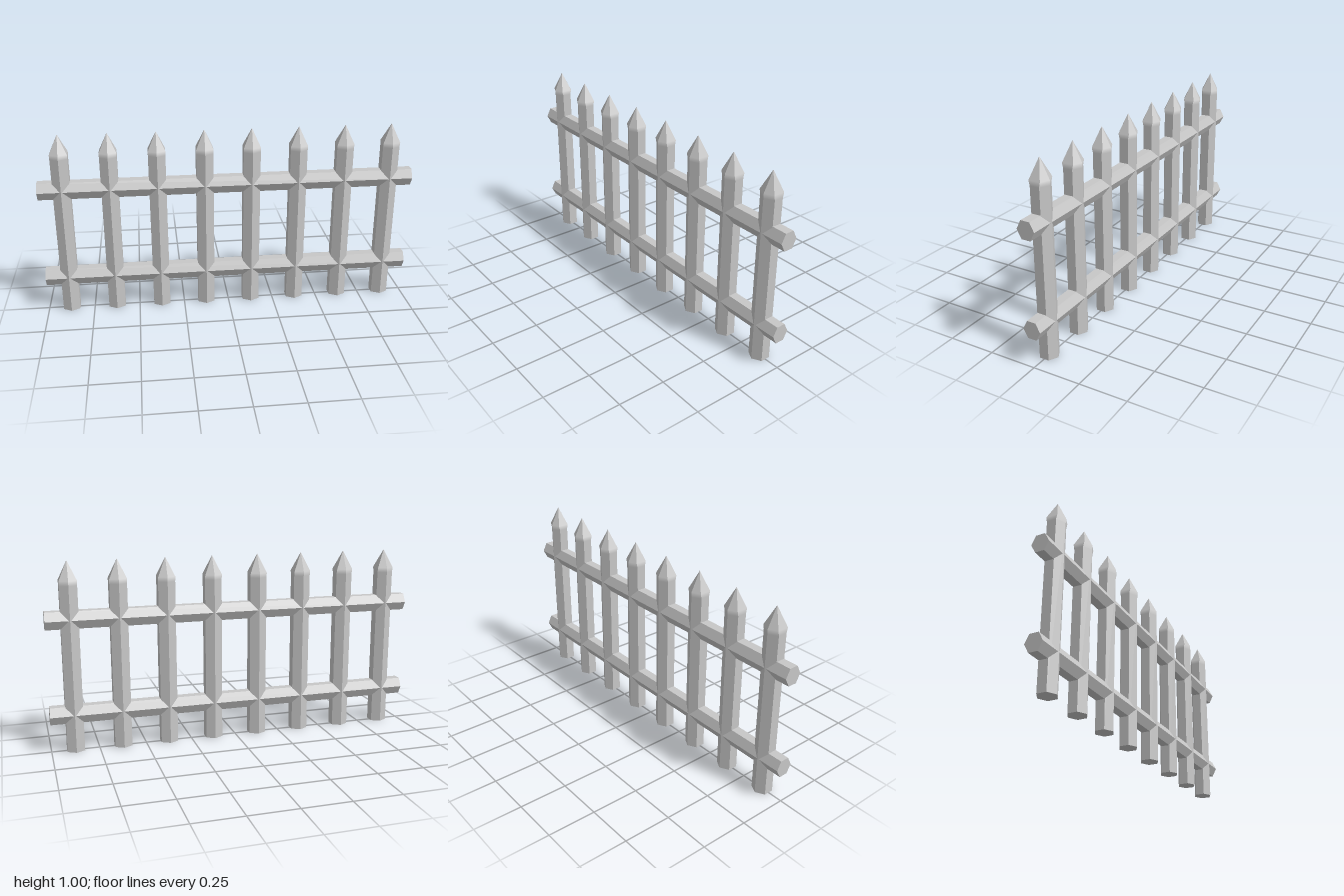
import * as THREE from 'three';

const SIDES = 6;

// Hexagonal pale: straight shaft, a short softly shaded shoulder and a pointed tip
function paleGeometry() {
  const shaft = (i, y) => {
    const a = (i / SIDES) * Math.PI * 2;
    return new THREE.Vector3(Math.sin(a) * 0.0522, y, Math.cos(a) * 0.05);
  };
  // The shoulder ring is slightly wider on the faces along the fence
  const shoulder = (i) => {
    const p = shaft(i, 0.9);
    if (i % 3 !== 0) p.z *= 1.22;
    return p;
  };
  const apex = new THREE.Vector3(0, 1, 0);
  const down = new THREE.Vector3(0, -1, 0);
  const pos = [], nor = [];
  const tri = (points, normals) => points.forEach((p, k) => {
    pos.push(p.x, p.y, p.z);
    nor.push(normals[k].x, normals[k].y, normals[k].z);
  });
  const faceNormal = (a, b, c) => b.clone().sub(a).cross(c.clone().sub(a)).normalize();

  for (let i = 0; i < SIDES; i++) {
    const j = i + 1;
    const a0 = shaft(i, 0), b0 = shaft(j, 0);
    const a1 = shaft(i, 0.875), b1 = shaft(j, 0.875);
    const a2 = shoulder(i), b2 = shoulder(j);
    const side = faceNormal(a0, b0, b1);
    const slope = faceNormal(a2, b2, apex);
    tri([a0, b0, b1], [side, side, side]);
    tri([a0, b1, a1], [side, side, side]);
    tri([a1, b1, b2], [side, side, slope]);
    tri([a1, b2, a2], [side, slope, slope]);
    tri([a2, b2, apex], [slope, slope, slope]);
    tri([b0, a0, new THREE.Vector3()], [down, down, down]);
  }
  const g = new THREE.BufferGeometry();
  g.setAttribute('position', new THREE.Float32BufferAttribute(pos, 3));
  g.setAttribute('normal', new THREE.Float32BufferAttribute(nor, 3));
  return g;
}

// Hexagonal rail lying along x, ridges facing front and back
function railGeometry() {
  const g = new THREE.CylinderGeometry(0.05, 0.05, 2, SIDES).toNonIndexed();
  g.rotateZ(Math.PI / 2);
  g.scale(1, 1.045, 0.94);
  g.computeVertexNormals();
  return g;
}

export function createModel() {
  const fence = new THREE.Group();
  fence.name = 'fence';
  const grey = new THREE.MeshStandardMaterial({ color: 0xc7c7c7 });
  grey.name = 'lightGrey';

  // Eight upright pales
  const pale = paleGeometry();
  for (let i = 0; i < 8; i++) {
    const m = new THREE.Mesh(pale, grey);
    m.name = `pale${i + 1}`;
    m.position.x = -0.875 + i * 0.25;
    fence.add(m);
  }

  // Two horizontal rails
  const rail = railGeometry();
  for (const [name, y] of [['lowerRail', 0.2], ['upperRail', 0.7]]) {
    const m = new THREE.Mesh(rail, grey);
    m.name = name;
    m.position.y = y;
    fence.add(m);
  }
  return fence;
}
